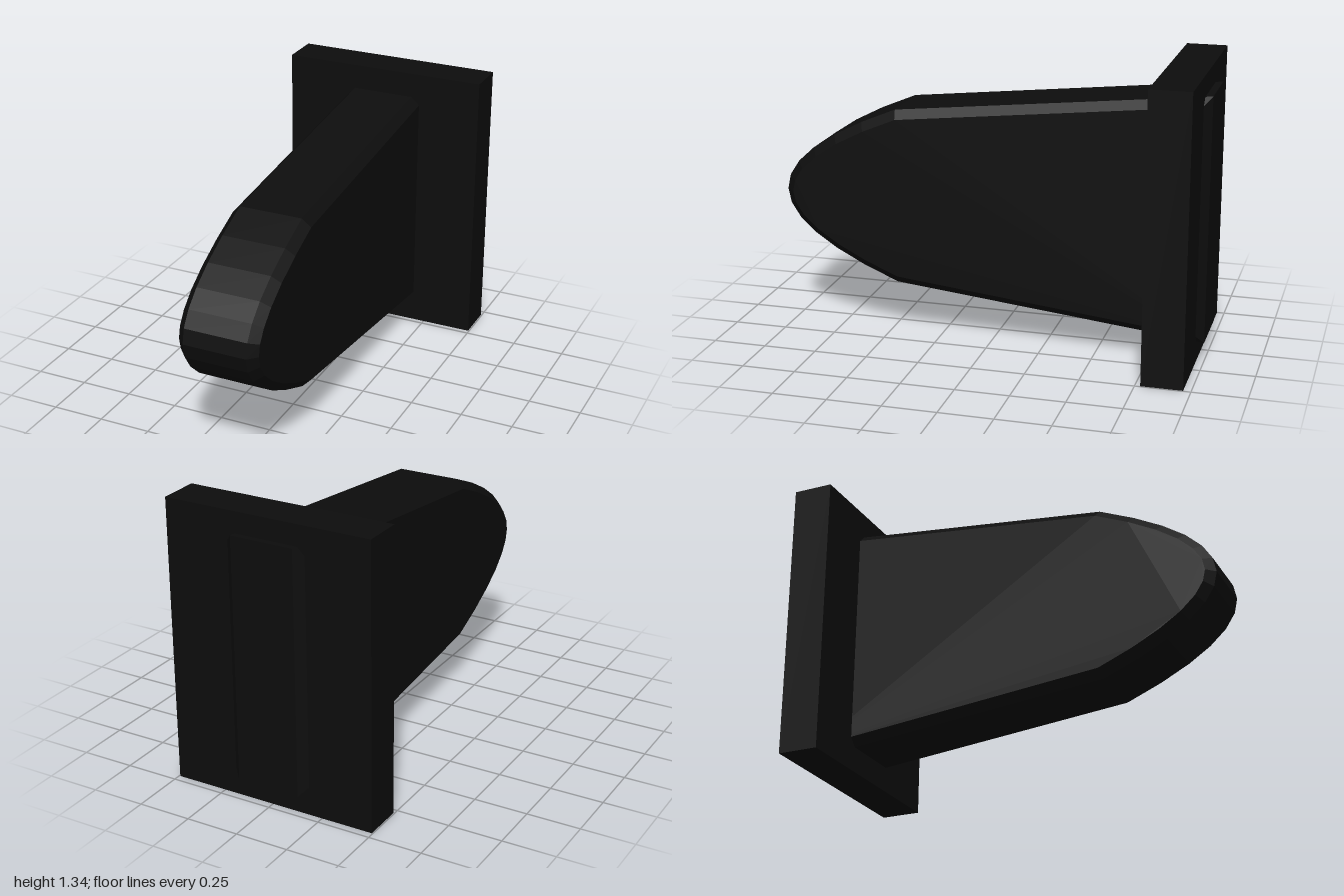
import * as THREE from 'three';

export function createModel() {
  const group = new THREE.Group();
  const black = new THREE.MeshStandardMaterial({ color: 0x0d0d0d });
  black.name = 'black';

  // Upright mounting plate near the back
  const plate = new THREE.Mesh(new THREE.BoxGeometry(0.99, 1.335, 0.19), black);
  plate.name = 'mountingPlate';
  plate.position.set(0, 0.6675, -0.87);
  group.add(plate);

  // Side profile of the tapering fin (shape x becomes z): straight flanks, curved nose
  const profile = new THREE.Shape();
  profile.moveTo(-1, 0.095);
  profile.lineTo(0.46, 0.25);
  profile.quadraticCurveTo(1.54, 0.6675, 0.46, 1.085);
  profile.lineTo(-1, 1.24);
  profile.closePath();

  // Fin passes through the plate, chamfered along every side edge
  const chamfer = 0.04;
  const width = 0.38;
  const finGeometry = new THREE.ExtrudeGeometry(profile, {
    depth: width - 2 * chamfer,
    curveSegments: 12,
    bevelEnabled: true,
    bevelSegments: 1,
    bevelThickness: chamfer,
    bevelSize: chamfer,
    bevelOffset: -chamfer,
  });
  finGeometry.translate(0, 0, chamfer - width / 2);
  finGeometry.rotateY(-Math.PI / 2);
  const fin = new THREE.Mesh(finGeometry, black);
  fin.name = 'fin';
  group.add(fin);

  return group;
}
